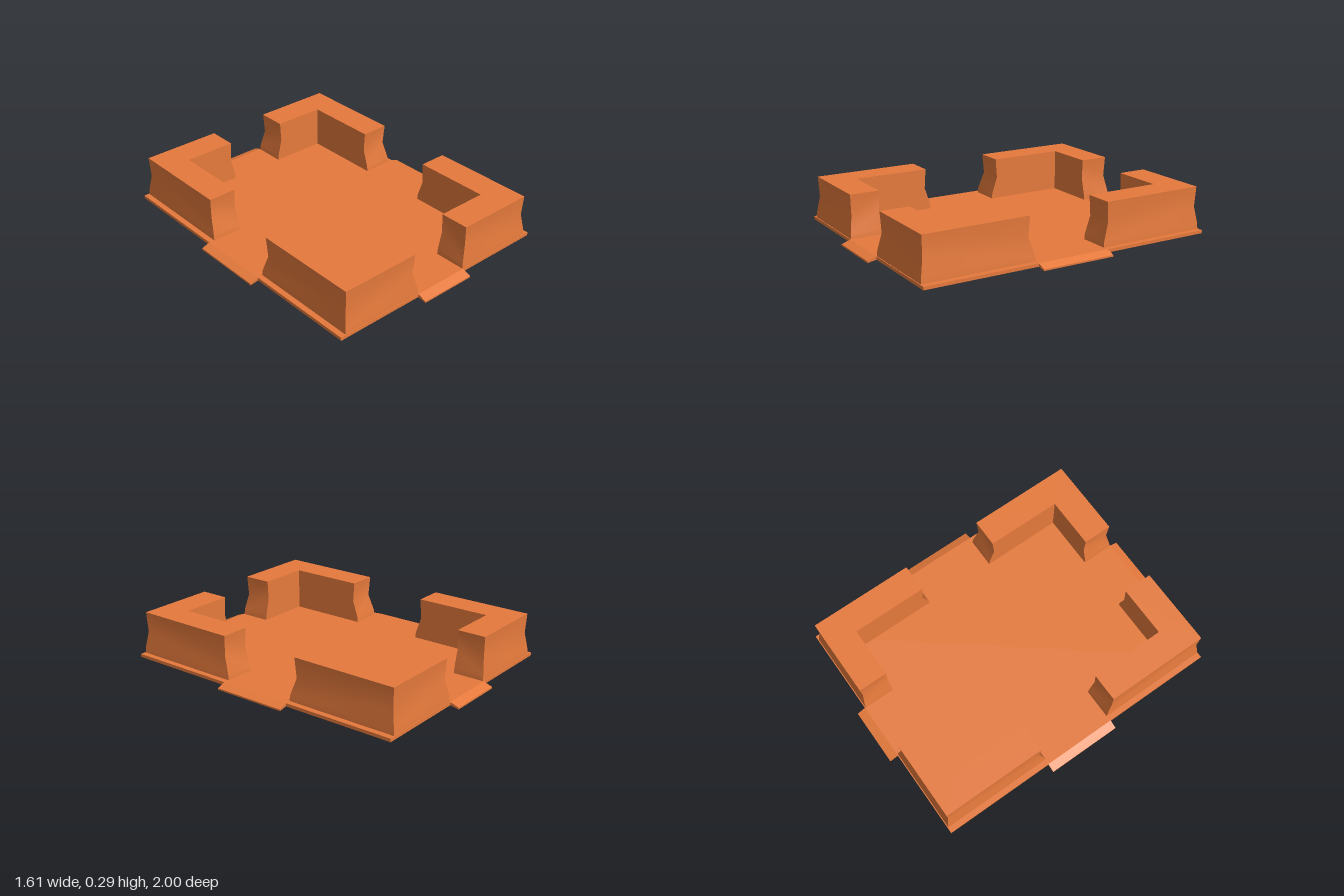
import * as THREE from 'three';
import { toCreasedNormals } from 'three/addons/utils/BufferGeometryUtils.js';

const material = new THREE.MeshStandardMaterial({ color: 0xe67a3c });

function addMesh(group, name, geometry) {
  const mesh = new THREE.Mesh(geometry, material);
  mesh.name = name;
  group.add(mesh);
  return mesh;
}

// L-shaped wall, lofted through levels of [height, outer x, outer z, end x, end z]
const LEVELS = [
  [0.03, 0.72, 0.94, 0.18, 0.232],
  [0.065, 0.718, 0.938, 0.183, 0.236],
  [0.17, 0.702, 0.92, 0.21, 0.272],
  [0.295, 0.708, 0.926, 0.203, 0.263],
];
const INNER_X = 0.53, INNER_Z = 0.742;

function cornerWall(sx, sz) {
  const rings = LEVELS.map(([y, ox, oz, ex, ez]) => [
    [ox, ez], [ox, oz], [ex, oz], [ex, INNER_Z], [INNER_X, INNER_Z], [INNER_X, ez],
  ].map(([x, z]) => [x * sx, y, z * sz]));
  const positions = [];
  const tri = (a, b, c) => positions.push(...a, ...(sx * sz > 0 ? [...b, ...c] : [...c, ...b]));
  for (let k = 0; k < rings.length - 1; k++) {
    for (let i = 0; i < 6; i++) {
      const j = (i + 1) % 6, lower = rings[k], upper = rings[k + 1];
      tri(lower[i], upper[i], upper[j]);
      tri(lower[i], upper[j], lower[j]);
    }
  }
  const [A, B, C, D, E, F] = rings[rings.length - 1];
  tri(A, E, B);
  tri(A, F, E);
  tri(B, D, C);
  tri(B, E, D);
  const geometry = new THREE.BufferGeometry();
  geometry.setAttribute('position', new THREE.Float32BufferAttribute(positions, 3));
  return toCreasedNormals(geometry, 0.6);
}

// Sloping entrance lip: side profile extruded across its width, running out along +x
function ramp(start, end, width) {
  const profile = new THREE.Shape([
    [start, 0.01], [end, 0], [end, 0.01], [start, 0.03],
  ].map(([x, y]) => new THREE.Vector2(x, y)));
  const geometry = new THREE.ExtrudeGeometry(profile, { depth: width, bevelEnabled: false });
  return geometry.translate(0, 0, -width / 2);
}

export function createModel() {
  const model = new THREE.Group();
  model.name = 'walledPlatform';

  // Floor plate
  addMesh(model, 'floor', new THREE.BoxGeometry(1.51, 0.02, 1.89).translate(0, 0.02, 0));

  // Four corner walls
  for (const sx of [1, -1]) {
    for (const sz of [1, -1]) {
      const name = (sz > 0 ? 'front' : 'back') + (sx > 0 ? 'Left' : 'Right') + 'Wall';
      addMesh(model, name, cornerWall(sx, sz));
    }
  }

  // Entrance ramps in the four gaps
  ['leftRamp', 'backRamp', 'rightRamp', 'frontRamp'].forEach((name, i) => {
    const geometry = i % 2 ? ramp(0.945, 1, 0.364) : ramp(0.755, 0.807, 0.472);
    addMesh(model, name, geometry).rotation.y = i * Math.PI / 2;
  });

  return model;
}
